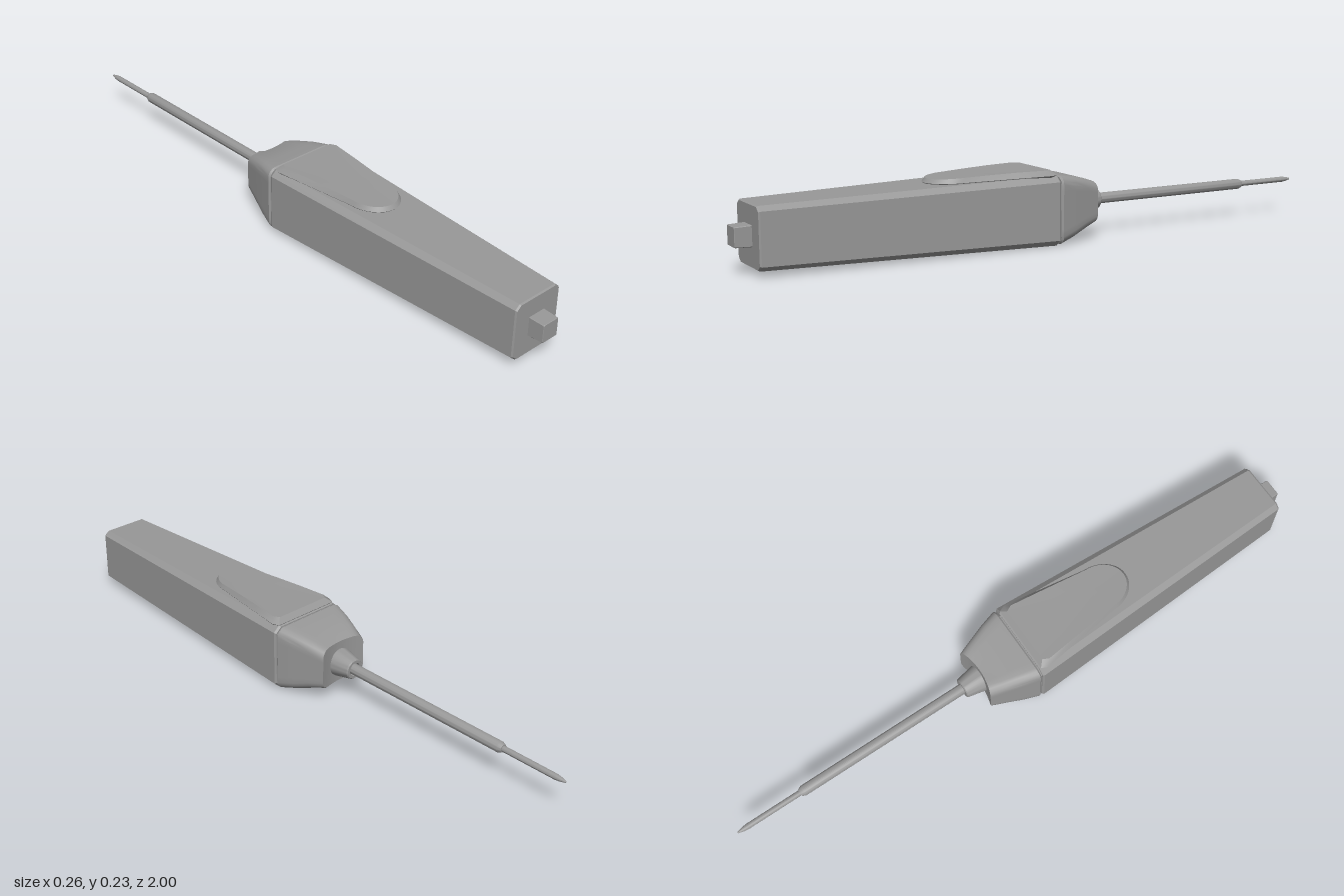
import * as THREE from 'three';
import { toCreasedNormals } from 'three/addons/utils/BufferGeometryUtils.js';

const AXIS_Y = 0.111;
const material = new THREE.MeshStandardMaterial({ color: 0x989898 });

// Skin a stack of rings (each anticlockwise seen from the last end) and cap both ends.
function loft(rings, crease = 0.45) {
  const n = rings[0].length, pos = [], index = [];
  rings.forEach(r => r.forEach(p => pos.push(p.x, p.y, p.z)));
  for (let i = 0; i < rings.length - 1; i++) {
    for (let j = 0; j < n; j++) {
      const a = i * n + j, b = i * n + (j + 1) % n;
      index.push(a, b, b + n, a, b + n, a + n);
    }
  }
  [0, rings.length - 1].forEach((k, end) => {
    const c = new THREE.Vector3();
    rings[k].forEach(p => c.addScaledVector(p, 1 / n));
    const ci = pos.length / 3;
    pos.push(c.x, c.y, c.z);
    for (let j = 0; j < n; j++) {
      const a = k * n + j, b = k * n + (j + 1) % n;
      if (end) index.push(ci, a, b); else index.push(ci, b, a);
    }
  });
  const g = new THREE.BufferGeometry();
  g.setAttribute('position', new THREE.Float32BufferAttribute(pos, 3));
  g.setIndex(index);
  return toCreasedNormals(g, crease);
}

// Rectangle with cut (arc = 1) or rounded (arc > 1) corners; sub splits the straight edges.
function section(z, w, y0, y1, cx, cy, arc = 1, sub = 1) {
  const corners = [[1, -1], [1, 1], [-1, 1], [-1, -1]], pts = [];
  corners.forEach(([sx, sy], k) => {
    const y = sy > 0 ? y1 - cy : y0 + cy;
    for (let s = 0; s <= arc; s++) {
      const t = (k - 1 + s / arc) * Math.PI / 2;
      pts.push(new THREE.Vector3(sx * (w - cx) + cx * Math.cos(t), y + cy * Math.sin(t), z));
    }
  });
  const out = [];
  pts.forEach((p, i) => {
    out.push(p);
    const q = pts[(i + 1) % pts.length];
    if (i % (arc + 1) === arc) for (let s = 1; s < sub; s++) out.push(p.clone().lerp(q, s / sub));
  });
  return out;
}

// Outline of the thumb pad: wide at the nose end, round at the other, with height given along z.
function padOutline(half, zBack, zRound, rEnd, zEnd, height) {
  const pts = [];
  const add = (x, z) => pts.push(new THREE.Vector3(x, height(z), z));
  for (let i = 0; i <= 20; i++) {
    const t = Math.PI + i / 20 * Math.PI;
    add(rEnd * Math.cos(t), zRound - (zEnd - zRound) * Math.sin(t));
  }
  const side = [0.3, 0.6, 0.93].map(t => [THREE.MathUtils.lerp(rEnd, half, t), THREE.MathUtils.lerp(zRound, zBack, t)]);
  side.forEach(([x, z]) => add(x, z));
  add(half - 0.012, zBack);
  add(-half + 0.012, zBack);
  side.reverse().forEach(([x, z]) => add(-x, z));
  return pts;
}

export function createModel() {
  const root = new THREE.Group();
  const add = (name, geometry) => {
    const m = new THREE.Mesh(geometry, material);
    m.name = name;
    root.add(m);
  };

  // Tapered handle with cut corners
  add('handle', loft([
    section(0.012, 0.127, 0.003, 0.212, 0.02, 0.018),
    section(0.018, 0.131, 0.0, 0.215, 0.02, 0.018),
    section(0.945, 0.087, 0.018, 0.2, 0.016, 0.014),
    section(0.95, 0.084, 0.021, 0.197, 0.015, 0.013),
  ], 0.2));

  // Recessed joint between handle and nose
  add('jointGroove', loft([
    section(-0.01, 0.124, 0.007, 0.209, 0.022, 0.02),
    section(0.03, 0.124, 0.007, 0.209, 0.022, 0.02),
  ], 0.2));

  // Nose with a slightly hollowed end face
  const noseEnd = k => section(0, 0.084, 0.047, 0.181, 0.028, 0.026, 4, 8).map(p => {
    const x = p.x * k;
    return new THREE.Vector3(x, AXIS_Y + (p.y - AXIS_Y) * k, -0.134 - 0.016 * (x / 0.084) ** 2);
  });
  add('nose', loft([
    noseEnd(0.05), noseEnd(0.35), noseEnd(0.7), noseEnd(1),
    section(-0.1, 0.1, 0.034, 0.194, 0.028, 0.026, 4, 8),
    section(-0.05, 0.116, 0.017, 0.206, 0.029, 0.026, 4, 8),
    section(0.003, 0.13, 0.002, 0.214, 0.03, 0.026, 4, 8),
    section(0.008, 0.126, 0.005, 0.211, 0.03, 0.026, 4, 8),
  ], 0.5));

  // Raised thumb pad
  const topY = z => 0.232 - 0.009 * Math.max(0, (z - 0.1) / 0.3) ** 1.5;
  add('thumbPad', loft([
    padOutline(0.108, 0.024, 0.31, 0.072, 0.4, () => 0.2),
    padOutline(0.123, 0.016, 0.31, 0.08, 0.409, z => 0.217 - 0.015 * z),
    padOutline(0.106, 0.032, 0.31, 0.073, 0.4, topY),
  ], 0.6));

  // Peg at the handle end
  add('endPeg', loft([
    section(0.94, 0.031, 0.079, 0.141, 0.002, 0.002),
    section(0.998, 0.029, 0.081, 0.139, 0.002, 0.002),
    section(1.0, 0.028, 0.082, 0.138, 0.002, 0.002),
  ], 0.2));

  // Turned collar and stepped probe, profile given as [radius, distance towards the tip]
  const turned = (name, profile) => {
    const g = new THREE.LatheGeometry(profile.map(([r, d]) => new THREE.Vector2(r, d)), 32);
    g.rotateX(-Math.PI / 2).translate(0, AXIS_Y, 0);
    add(name, toCreasedNormals(g, 0.5));
  };
  turned('collar', [[0, 0.12], [0.045, 0.12], [0.044, 0.14], [0.032, 0.197], [0.029, 0.2], [0.021, 0.2], [0.02, 0.19], [0, 0.19]]);
  turned('shaft', [[0, 0.18], [0.017, 0.18], [0.017, 0.77], [0.012, 0.782], [0, 0.782]]);
  turned('tip', [[0, 0.77], [0.009, 0.77], [0.009, 0.965], [0.007, 0.98], [0.003, 0.997], [0, 1]]);

  return root;
}
